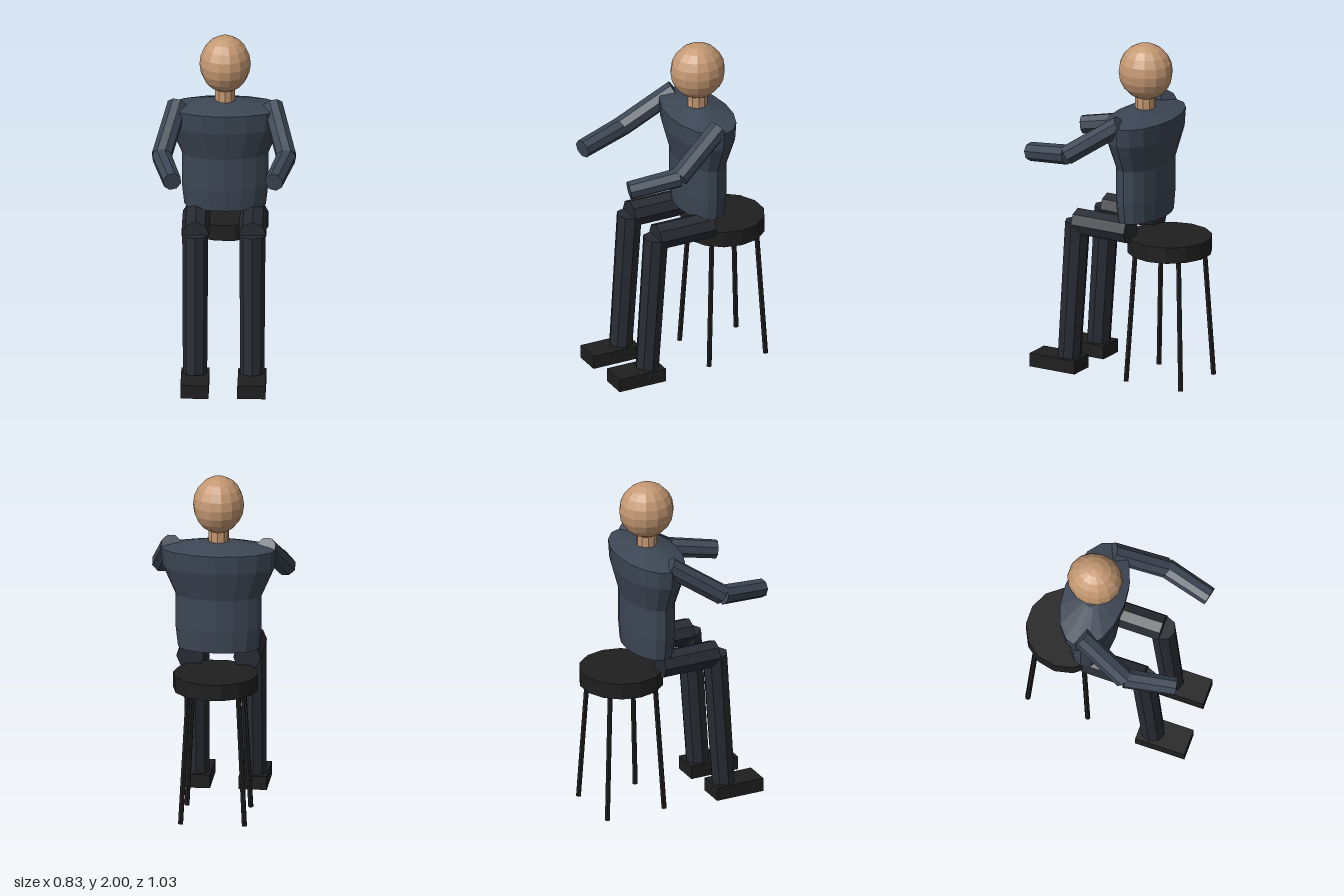
import * as THREE from 'three';

const paint = (color) => new THREE.MeshStandardMaterial({ color, flatShading: true });

export function createModel() {
  const model = new THREE.Group();
  const skin = paint(0xc49872);
  const shirt = paint(0x3c4654);
  const trousers = paint(0x282b33);
  const black = paint(0x1f1f1f);

  const add = (name, geometry, material, x = 0, y = 0, z = 0) => {
    const mesh = new THREE.Mesh(geometry, material);
    mesh.name = name;
    mesh.position.set(x, y, z);
    model.add(mesh);
    return mesh;
  };

  // Tapered faceted rod running from one point to another
  const limb = (name, from, to, rFrom, rTo, sides, material) => {
    const a = new THREE.Vector3(...from);
    const b = new THREE.Vector3(...to);
    const dir = b.clone().sub(a);
    const mesh = add(name, new THREE.CylinderGeometry(rTo, rFrom, dir.length(), sides), material);
    mesh.position.copy(a).add(b).multiplyScalar(0.5);
    mesh.quaternion.setFromUnitVectors(new THREE.Vector3(0, 1, 0), dir.normalize());
    return mesh;
  };

  // Head and neck
  const head = add('head', new THREE.SphereGeometry(1, 14, 10), skin, 0, 1.833, -0.113);
  head.scale.set(0.148, 0.167, 0.162);
  add('neck', new THREE.CylinderGeometry(0.06, 0.06, 0.12, 10), skin, 0, 1.65, -0.11);

  // Torso: flattened lathe from hips to neck base
  const profile = [
    [0, 0.97], [0.235, 0.97], [0.25, 1.1], [0.25, 1.29],
    [0.325, 1.46], [0.336, 1.57], [0.1, 1.615], [0, 1.615],
  ].map(([r, y]) => new THREE.Vector2(r, y));
  add('torso', new THREE.LatheGeometry(profile, 16), shirt, 0, 0, -0.113).scale.z = 0.54;

  // Arms and legs, mirrored
  for (const [side, s] of [['left', 1], ['right', -1]]) {
    const elbow = [s * 0.36, 1.375, 0.195];
    limb(side + 'UpperArm', [s * 0.275, 1.58, -0.105], elbow, 0.06, 0.06, 8, shirt);
    limb(side + 'Forearm', elbow, [s * 0.293, 1.328, 0.484], 0.058, 0.055, 8, shirt);

    const knee = [s * 0.165, 0.91, 0.245];
    limb(side + 'Thigh', [s * 0.165, 0.91, -0.11], knee, 0.08, 0.08, 8, trousers);
    limb(side + 'Shin', knee, [s * 0.165, 0.085, 0.3], 0.075, 0.07, 8, trousers);
    add(side + 'Shoe', new THREE.BoxGeometry(0.162, 0.08, 0.3), black, s * 0.164, 0.045, 0.37);
  }

  // Stool with four splayed legs
  const seat = add('stoolSeat', new THREE.CylinderGeometry(0.246, 0.246, 0.095, 14), black, 0, 0.818, -0.275);
  seat.rotation.y = Math.PI / 2;
  for (const sx of [1, -1]) {
    for (const sz of [1, -1]) {
      limb('stoolLeg', [sx * 0.185, 0.002, -0.275 + sz * 0.183],
        [sx * 0.145, 0.78, -0.275 + sz * 0.145], 0.016, 0.016, 6, black);
    }
  }

  return model;
}
